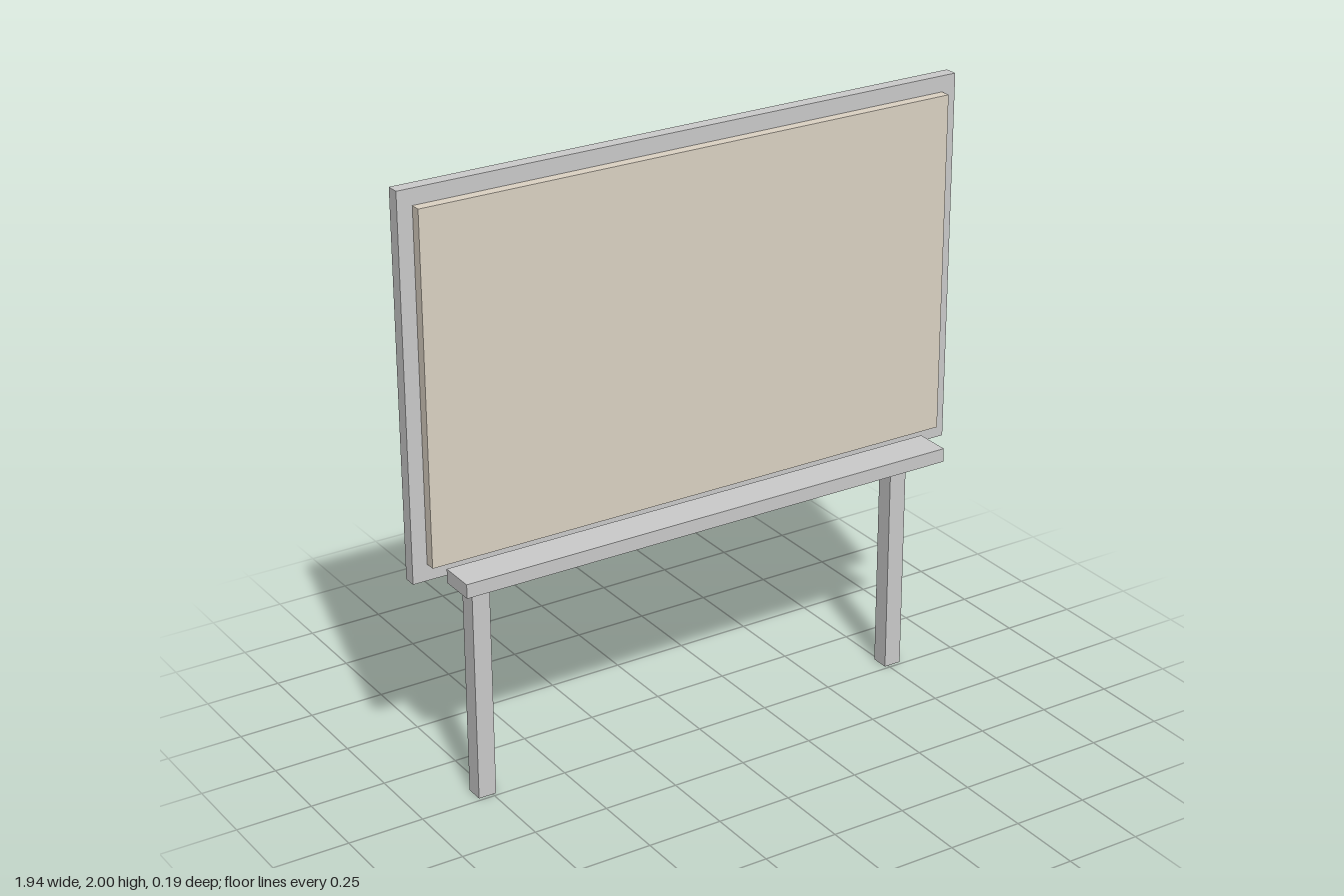
import * as THREE from 'three';

const grey = new THREE.MeshStandardMaterial({ color: 0xcccccc });
const warm = new THREE.MeshStandardMaterial({ color: 0xdcd3c4 });

// Box given by its extents along each axis
function box(name, [x0, x1], [y0, y1], [z0, z1], material = grey) {
  const mesh = new THREE.Mesh(new THREE.BoxGeometry(x1 - x0, y1 - y0, z1 - z0), material);
  mesh.position.set((x0 + x1) / 2, (y0 + y1) / 2, (z0 + z1) / 2);
  mesh.name = name;
  return mesh;
}

export function createModel() {
  const group = new THREE.Group();
  group.name = 'standingBoard';

  // Backing board with the raised display panel on its front
  group.add(box('backBoard', [-0.972, 0.972], [0.77, 2], [-0.0925, -0.05]));
  group.add(box('displayPanel', [-0.923, 0.923], [0.824, 1.948], [-0.05, -0.016], warm));

  // Ledge below the panel
  group.add(box('ledge', [-0.87, 0.87], [0.757, 0.803], [-0.029, 0.0925]));

  // Square legs
  for (const [name, x] of [['leftLeg', 0.768], ['rightLeg', -0.768]]) {
    group.add(box(name, [x - 0.03, x + 0.03], [0, 0.783], [-0.071, -0.011]));
  }
  return group;
}
